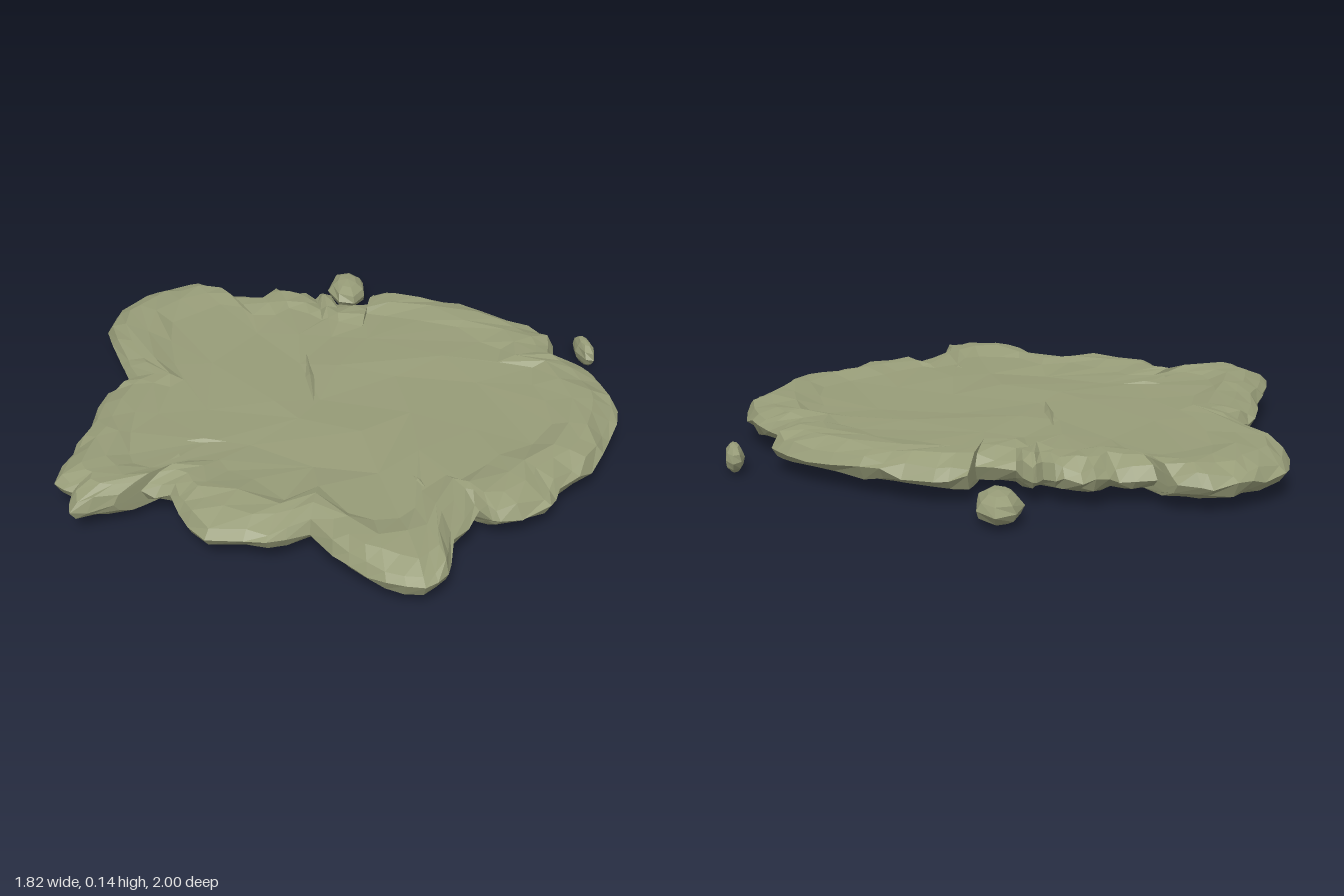
import * as THREE from 'three';

// Slab outline as x, z pairs, clockwise seen from above
const OUTLINE = [
  -0.56, -0.84, -0.46, -0.82, -0.41, -0.74, -0.30, -0.74, -0.23, -0.79, -0.14, -0.76, -0.08, -0.71,
  -0.05, -0.76, 0, -0.68, 0.12, -0.65, 0.14, -0.75, 0.24, -0.75, 0.40, -0.68, 0.56, -0.58,
  0.70, -0.47, 0.76, -0.38, 0.74, -0.26, 0.83, -0.19, 0.89, -0.05, 0.90, 0.10, 0.84, 0.27,
  0.76, 0.42, 0.64, 0.53, 0.60, 0.62, 0.44, 0.68, 0.38, 0.64, 0.29, 0.78, 0.26, 0.93,
  0.19, 0.99, 0.08, 0.96, -0.02, 0.87, -0.13, 0.71, -0.26, 0.77, -0.44, 0.73, -0.52, 0.61,
  -0.55, 0.52, -0.64, 0.49, -0.72, 0.55, -0.85, 0.58, -0.85, 0.49, -0.91, 0.44, -0.87, 0.27,
  -0.83, 0.13, -0.79, -0.09, -0.72, -0.15, -0.76, -0.28, -0.83, -0.53, -0.79, -0.69, -0.68, -0.79,
];

// Cross-section from underside to floor: inset, height, height noise,
// smoothing window, facet step and scale towards the centre
const RINGS = [
  { inset: 0.20, y: 0.048, noise: 0, smooth: 8, step: 4, scale: 0.5 },
  { inset: 0.19, y: 0.048, noise: 0.002, smooth: 6, step: 2 },
  { inset: 0.12, y: 0.040, noise: 0.002, smooth: 2, step: 1 },
  { inset: 0.07, y: 0.042, noise: 0.004, smooth: 1, step: 1 },
  { inset: 0.02, y: 0.062, noise: 0.010, smooth: 0, step: 1 },
  { inset: 0.00, y: 0.090, noise: 0.014, smooth: 0, step: 1 },
  { inset: 0.025, y: 0.120, noise: 0.012, smooth: 0, step: 1 },
  { inset: 0.08, y: 0.143, noise: 0.007, smooth: 1, step: 1 },
  { inset: 0.14, y: 0.147, noise: 0.005, smooth: 3, step: 2 },
  { inset: 0.20, y: 0.131, noise: 0.005, smooth: 5, step: 2 },
  { inset: 0.20, y: 0.127, noise: 0.008, smooth: 8, step: 7, scale: 0.72 },
  { inset: 0.20, y: 0.125, noise: 0.010, smooth: 8, step: 14, scale: 0.36 },
];

const material = new THREE.MeshStandardMaterial({ color: 0x979c78, flatShading: true, side: THREE.DoubleSide });

function seeded(seed) {
  return () => {
    seed = (seed * 16807) % 2147483647;
    return seed / 2147483647;
  };
}

function addMesh(parent, name, geometry) {
  const mesh = new THREE.Mesh(geometry, material);
  mesh.name = name;
  parent.add(mesh);
  return mesh;
}

// Ragged slab lofted through concentric rings
function slabGeometry() {
  const rand = seeded(71);
  const edge = [];
  const count = OUTLINE.length / 2;
  for (let i = 0; i < count; i++) {
    const j = (i + 1) % count;
    const a = new THREE.Vector2(OUTLINE[2 * i], OUTLINE[2 * i + 1]);
    const b = new THREE.Vector2(OUTLINE[2 * j], OUTLINE[2 * j + 1]);
    const mid = a.clone().lerp(b, 0.35 + 0.3 * rand());
    mid.multiplyScalar(1 + 0.012 * rand());
    edge.push(a, mid);
  }
  const n = edge.length;
  const radius = edge.map((p) => p.length());

  const rings = RINGS.map(({ inset, y, noise, smooth, step, scale = 1 }) => {
    const points = edge.map((p, i) => {
      let sum = 0;
      for (let k = -smooth; k <= smooth; k++) sum += radius[(i + k + n) % n];
      const mean = sum / (2 * smooth + 1);
      const wobble = inset * (0.85 + 0.3 * rand());
      const r = (Math.min(mean, radius[i]) - wobble) * scale;
      const h = y + noise * (2 * rand() - 1);
      return [(p.x / radius[i]) * r, h, (p.y / radius[i]) * r];
    });
    return (i) => points[(Math.floor(i / step) * step) % n];
  });

  const triangles = [];
  const face = (a, b, c) => {
    if (a !== b && b !== c && a !== c) triangles.push(...a, ...b, ...c);
  };
  const bottom = [0, 0.05, 0];
  const top = [-0.08, 0.122, 0.02];
  for (let i = 0; i < n; i++) {
    const j = (i + 1) % n;
    face(bottom, rings[0](i), rings[0](j));
    for (let k = 0; k < rings.length - 1; k++) {
      const [a, b, c, d] = [rings[k](i), rings[k](j), rings[k + 1](i), rings[k + 1](j)];
      face(a, c, b);
      face(b, c, d);
    }
    const last = rings[rings.length - 1];
    face(last(i), top, last(j));
  }
  const geometry = new THREE.BufferGeometry();
  geometry.setAttribute('position', new THREE.Float32BufferAttribute(triangles, 3));
  geometry.computeVertexNormals();
  return geometry;
}

// Tapered faceted lump broken away from the slab
function addFragment(parent, name, size, position, turn) {
  const geometry = new THREE.SphereGeometry(0.5, 7, 6);
  const p = geometry.attributes.position;
  for (let i = 0; i < p.count; i++) {
    const bump = 1 + 0.08 * Math.sin(9 * p.getX(i) + 7 * p.getY(i) + 5 * p.getZ(i));
    p.setXYZ(i, p.getX(i) * bump, p.getY(i), p.getZ(i) * (2 - bump));
  }
  geometry.computeVertexNormals();
  const mesh = addMesh(parent, name, geometry);
  mesh.scale.set(...size);
  mesh.position.set(...position);
  mesh.rotation.y = turn;
}

// Low pointed fold running along the floor from one point to another
function addFold(parent, x0, z0, x1, z1, width) {
  const geometry = new THREE.OctahedronGeometry(0.5);
  const mesh = addMesh(parent, 'floorFold', geometry);
  mesh.position.set((x0 + x1) / 2, 0.124, (z0 + z1) / 2);
  mesh.scale.set(width, 0.03, Math.hypot(x1 - x0, z1 - z0));
  mesh.rotation.y = Math.atan2(x1 - x0, z1 - z0);
}

export function createModel() {
  const model = new THREE.Group();
  model.name = 'raggedSlab';

  addMesh(model, 'slab', slabGeometry());

  addFold(model, -0.12, -0.29, -0.10, 0.04, 0.03);
  addFold(model, -0.55, 0.26, -0.36, 0.27, 0.03);
  addFold(model, -0.46, 0.28, -0.60, 0.42, 0.03);
  addFold(model, 0.17, 0.45, 0.24, 0.58, 0.04);

  addFragment(model, 'backFragment', [0.14, 0.095, 0.23], [0.05, 0.055, -0.885], 0.05);
  addFragment(model, 'sideFragment', [0.06, 0.09, 0.16], [0.875, 0.053, -0.39], 0.2);
  return model;
}
